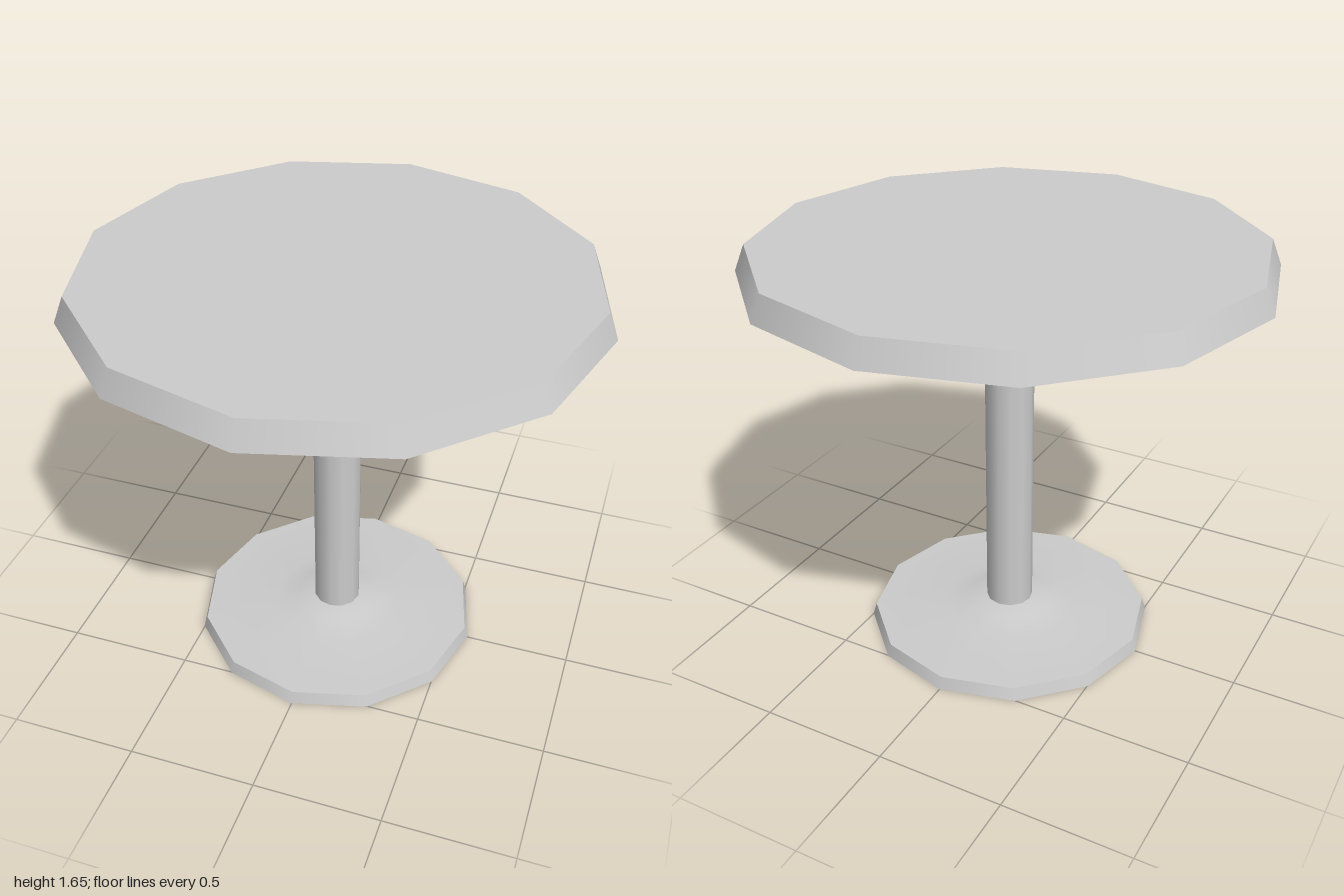
import * as THREE from 'three';

const SIDES = 12;

export function createModel() {
  const group = new THREE.Group();
  const material = new THREE.MeshStandardMaterial({ color: 0xcccccc });

  const add = (name, geometry, y = 0) => {
    const mesh = new THREE.Mesh(geometry, material);
    mesh.name = name;
    mesh.position.y = y;
    group.add(mesh);
  };
  const lathe = (points) =>
    new THREE.LatheGeometry(points.map(([r, y]) => new THREE.Vector2(r, y)), SIDES);

  // Twelve-sided top with a bevelled rim
  add('tableTop', new THREE.CylinderGeometry(0.96, 1, 0.1, SIDES), 1.6);

  // Central column, running from the base collar to the top
  add('column', new THREE.CylinderGeometry(0.095, 0.095, 1.47, SIDES, 1, true), 0.825);

  // Base: underside, bevelled rim, then a plate swelling gently to the column
  add('baseUnderside', lathe([[0, 0], [0.58, 0]]));
  add('baseRim', lathe([[0.58, 0], [0.565, 0.05]]));
  add('basePlate', lathe([[0.565, 0.05], [0.27, 0.056], [0.17, 0.086], [0.09, 0.097]]));

  return group;
}
